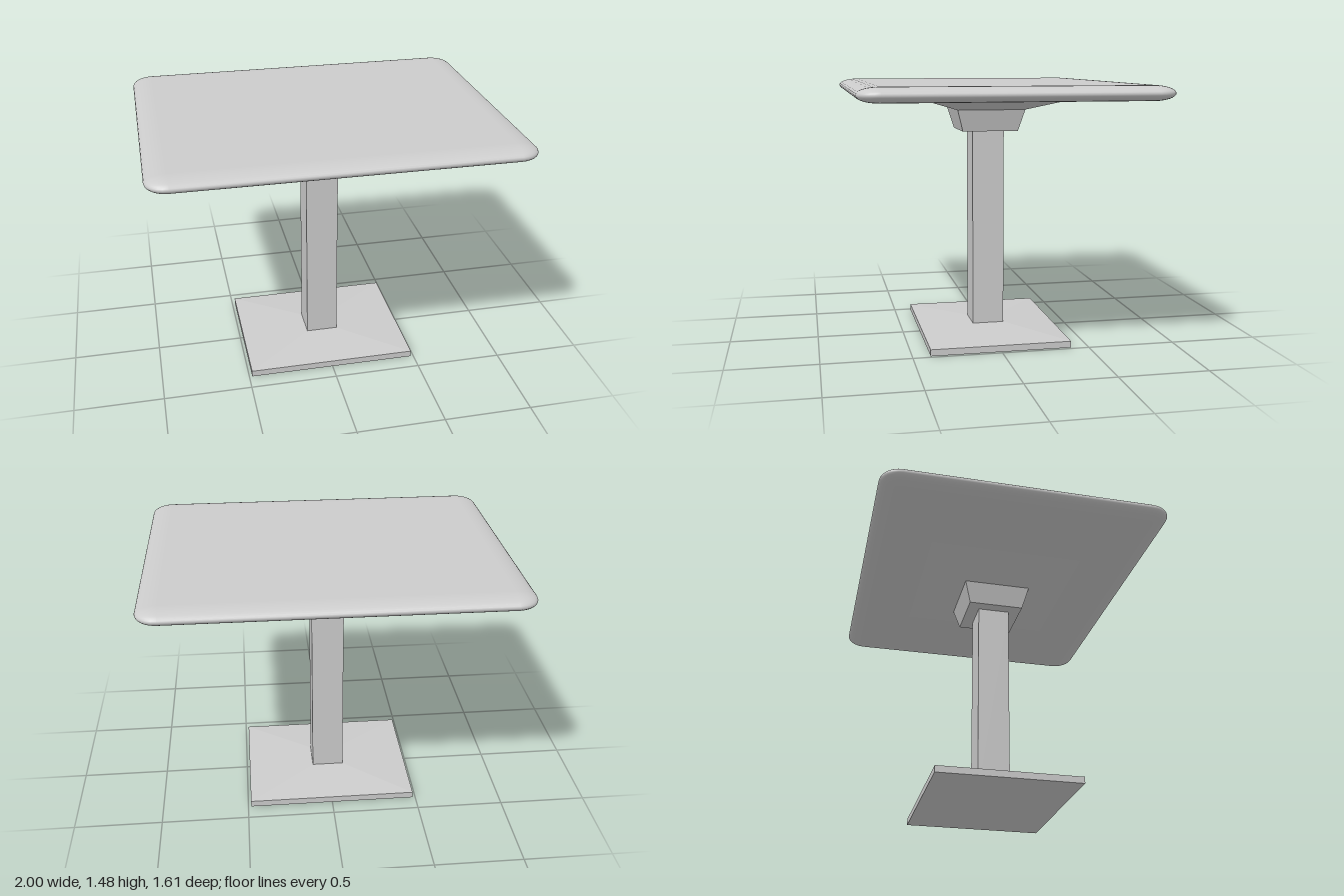
import * as THREE from 'three';
import { RoundedBoxGeometry } from 'three/addons/geometries/RoundedBoxGeometry.js';

const material = new THREE.MeshStandardMaterial({ color: 0xcccccc });

// Four-sided block from a bottom to a top rectangle, each [y, half width, half depth]
function taperedBlock(name, [y0, x0, z0], [y1, x1, z1]) {
  const geometry = new THREE.BoxGeometry(2, 2, 2);
  const p = geometry.attributes.position;
  for (let i = 0; i < p.count; i++) {
    const top = p.getY(i) > 0;
    p.setXYZ(i, p.getX(i) * (top ? x1 : x0), top ? y1 : y0, p.getZ(i) * (top ? z1 : z0));
  }
  geometry.computeVertexNormals(); // box faces share no vertices, so edges stay sharp
  const mesh = new THREE.Mesh(geometry, material);
  mesh.name = name;
  return mesh;
}

export function createModel() {
  const table = new THREE.Group();
  table.name = 'pedestalTable';

  // Foot plate with a shallow sloped top
  table.add(taperedBlock('basePlate', [0, 0.483, 0.4], [0.037, 0.483, 0.4]));
  table.add(taperedBlock('baseSlope', [0.037, 0.483, 0.4], [0.058, 0.092, 0.092]));

  // Square column
  table.add(taperedBlock('column', [0.05, 0.092, 0.092], [1.21, 0.092, 0.092]));

  // Flared bracket under the top
  table.add(taperedBlock('bracketCollar', [1.205, 0.16, 0.16], [1.328, 0.195, 0.195]));
  table.add(taperedBlock('bracketFlare', [1.328, 0.195, 0.195], [1.405, 0.45, 0.45]));

  // Table top: rounded slab flattened so its rim is a half ellipse
  const radius = 0.115, thickness = 0.08;
  const slab = new RoundedBoxGeometry(2, radius * 2, 1.61, 4, radius);
  slab.scale(1, thickness / (radius * 2), 1);
  const top = new THREE.Mesh(slab, material);
  top.name = 'tableTop';
  top.position.y = 1.443;
  table.add(top);

  return table;
}
